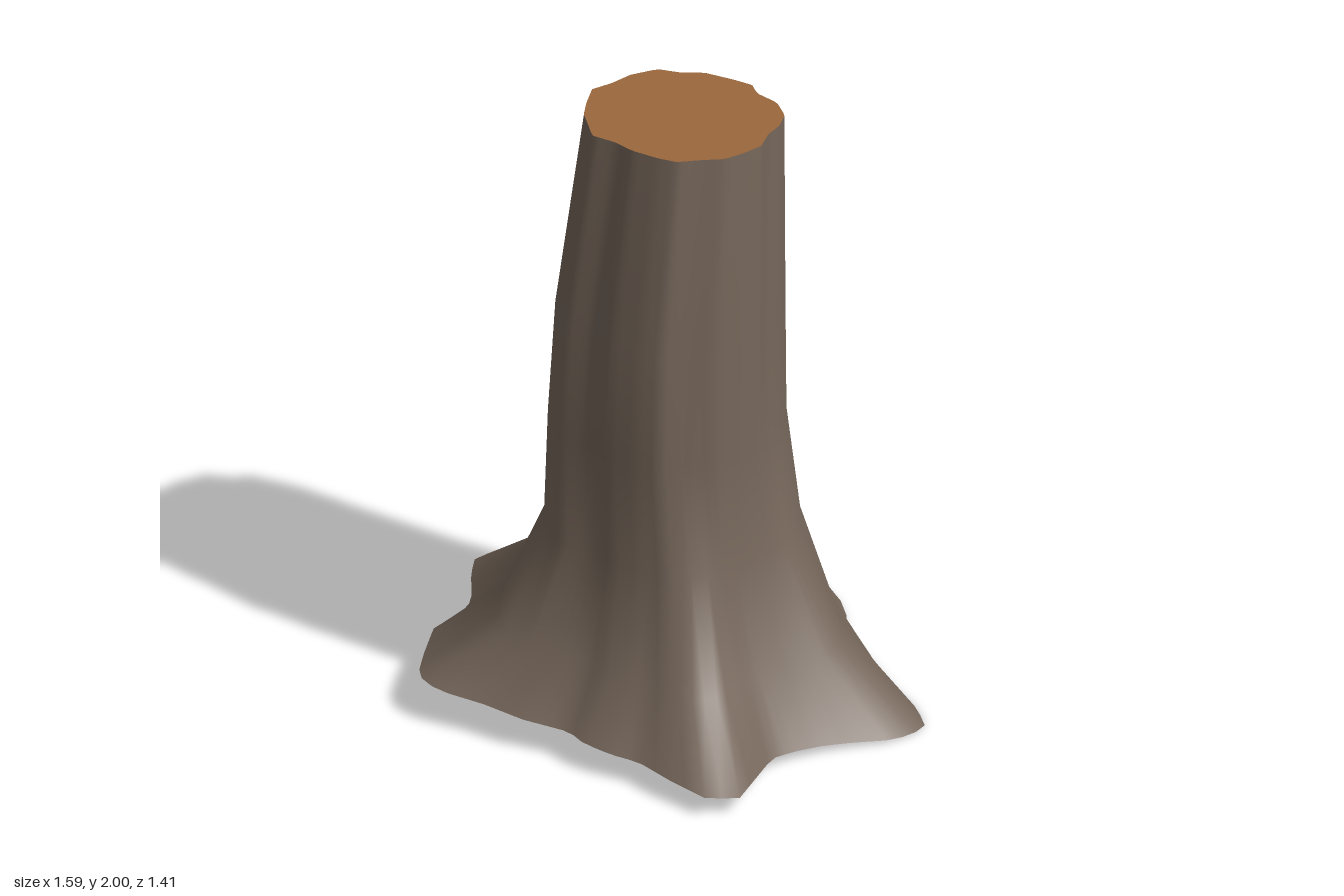
import * as THREE from 'three';

const SEGMENTS = 96;

// Outlines seen from above, as x, z pairs in one turn
const ROOTS = [
  0.03, -0.71, 0.13, -0.67, 0.21, -0.62, 0.27, -0.55, 0.32, -0.46, 0.37, -0.41, 0.46, -0.36,
  0.6, -0.25, 0.72, -0.18, 0.8, -0.09, 0.76, 0.03, 0.66, 0.13, 0.6, 0.2, 0.55, 0.28,
  0.515, 0.36, 0.555, 0.64, 0.47, 0.7, 0.33, 0.67, 0.2, 0.63, 0.11, 0.64, 0.01, 0.63,
  -0.06, 0.595, -0.21, 0.615, -0.35, 0.605, -0.51, 0.615, -0.6, 0.57, -0.65, 0.44,
  -0.7, 0.29, -0.68, 0.11, -0.71, 0.03, -0.77, -0.07, -0.81, -0.17, -0.77, -0.27,
  -0.69, -0.34, -0.5, -0.41, -0.37, -0.5, -0.22, -0.55, -0.06, -0.7,
];
const TRUNK = [
  0.02, -0.3, 0.08, -0.3, 0.12, -0.26, 0.2, -0.24, 0.26, -0.18, 0.28, -0.11, 0.28, -0.04,
  0.3, 0.04, 0.28, 0.11, 0.25, 0.18, 0.19, 0.23, 0.14, 0.28, 0.08, 0.29, -0.01, 0.29,
  -0.08, 0.27, -0.16, 0.27, -0.2, 0.22, -0.25, 0.16, -0.28, 0.09, -0.31, 0, -0.28, -0.07,
  -0.26, -0.15, -0.21, -0.23, -0.14, -0.25, -0.08, -0.29,
];

// Cross-sections: height, root share, trunk scale, centre x and z, tilt along x and z
const RINGS = [
  [0.058, 1, 1, 0, 0, -0.066, 0.054],
  [0.265, 0.42, 1.25, -0.02, 0.01, -0.045, 0],
  [0.59, 0.1, 1.17, -0.025, 0.02, -0.015, 0],
  [0.95, 0.02, 1.17, -0.038, 0.04, -0.015, 0.02],
  [1.33, 0, 1.15, -0.025, 0.045, -0.015, 0.04],
  [1.977, 0, 1, 0, 0, -0.015, 0.075],
];

// Point where a ray from the centre meets an outline
function hit(outline, angle) {
  const dx = Math.cos(angle), dz = Math.sin(angle), n = outline.length;
  for (let i = 0; i < n; i += 2) {
    const ax = outline[i], az = outline[i + 1];
    const bx = outline[(i + 2) % n], bz = outline[(i + 3) % n];
    const a = dx * az - dz * ax, b = dx * bz - dz * bx;
    if (a <= 0 && b > 0) {
      const t = a / (a - b);
      const x = ax + (bx - ax) * t, z = az + (bz - az) * t;
      if (x * dx + z * dz > 0) return [x, z];
    }
  }
  return [0, 0];
}

function ringPoints([height, share, scale, cx, cz, tiltX, tiltZ]) {
  const points = [];
  for (let i = 0; i < SEGMENTS; i++) {
    const angle = (i / SEGMENTS) * Math.PI * 2 + 0.001;
    const root = hit(ROOTS, angle), trunk = hit(TRUNK, angle);
    const x = root[0] * share + (trunk[0] * scale + cx) * (1 - share);
    const z = root[1] * share + (trunk[1] * scale + cz) * (1 - share);
    points.push([x, Math.max(0, height + tiltX * x + tiltZ * z), z]);
  }
  return points;
}

function surface(points, index) {
  const geometry = new THREE.BufferGeometry();
  geometry.setAttribute('position', new THREE.Float32BufferAttribute(points.flat(), 3));
  geometry.setIndex(index);
  geometry.computeVertexNormals();
  return geometry;
}

// Flat end face, fanned from its centre
function cap(ring, height, up) {
  const index = [];
  for (let i = 0; i < SEGMENTS; i++) {
    const a = i + 1, b = ((i + 1) % SEGMENTS) + 1;
    index.push(0, ...(up ? [b, a] : [a, b]));
  }
  return surface([[0, height, 0], ...ring], index);
}

export function createModel() {
  const bark = new THREE.MeshStandardMaterial({ name: 'bark', color: 0x75665a });
  const wood = new THREE.MeshStandardMaterial({ name: 'cut wood', color: 0x9b673c });
  const group = new THREE.Group();
  group.name = 'treeStump';
  const add = (name, geometry, material) => {
    const mesh = new THREE.Mesh(geometry, material);
    mesh.name = name;
    group.add(mesh);
  };

  // Fluted trunk flaring into the roots
  const rings = RINGS.map(ringPoints);
  const index = [];
  for (let r = 0; r < rings.length - 1; r++) {
    for (let i = 0; i < SEGMENTS; i++) {
      const j = (i + 1) % SEGMENTS;
      const a = r * SEGMENTS + i, b = r * SEGMENTS + j;
      index.push(a, a + SEGMENTS, b, b, a + SEGMENTS, b + SEGMENTS);
    }
  }
  add('trunkBark', surface(rings.flat(), index), bark);

  // Cut faces at both ends
  add('topCut', cap(rings[rings.length - 1], RINGS[RINGS.length - 1][0], true), wood);
  add('bottomCut', cap(rings[0], RINGS[0][0], false), wood);
  return group;
}
